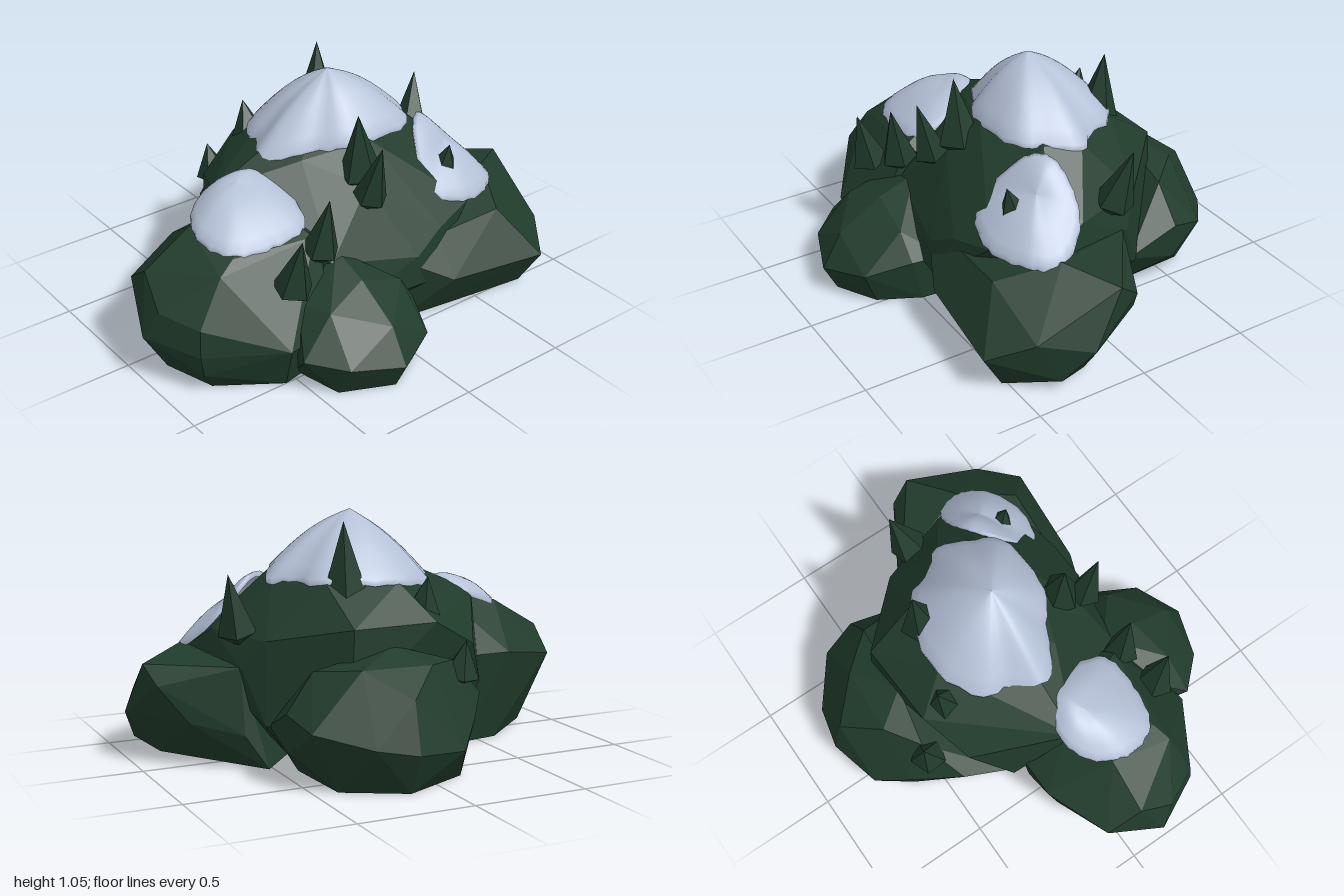
import * as THREE from 'three';
import { ConvexGeometry } from 'three/addons/geometries/ConvexGeometry.js';

const V = (p) => new THREE.Vector3(...p);

export function createModel() {
  const group = new THREE.Group();
  const forest = new THREE.MeshStandardMaterial({ color: 0x203b2b, flatShading: true });
  forest.name = 'forestGreen';
  const snowMat = new THREE.MeshStandardMaterial({ color: 0xb4c0d6, side: THREE.DoubleSide });
  snowMat.name = 'snow';

  const add = (name, geometry, material) => {
    const mesh = new THREE.Mesh(geometry, material);
    mesh.name = name;
    group.add(mesh);
    return mesh;
  };
  // Faceted boulder: hull around a few corner points
  const boulder = (name, points) => add(name, new ConvexGeometry(points.map(V)), forest);

  boulder('mainPeak', [
    [0.07, 0.92, -0.03], [-0.3, 0.71, -0.1], [-0.53, 0.66, -0.03], [-0.18, 0.75, 0.12],
    [0.1, 0.8, 0.22], [0.4, 0.79, 0.1], [0, 0.66, 0.33], [0.44, 0.77, -0.06],
    [0.3, 0.77, -0.3], [0, 0.77, -0.35], [0.28, 0.62, -0.52], [-0.1, 0.62, -0.5],
    [-0.32, 0.5, -0.42], [0.55, 0.55, -0.25], [0.3, 0.3, -0.53], [0.15, 0.34, 0.5],
    [-0.25, 0.42, 0.42], [-0.44, 0.3, -0.27], [0.56, 0.2, -0.27], [0.66, 0.56, 0.08],
    [0.72, 0.46, 0.25], [0.5, 0.46, 0.42], [0.3, 0.42, 0.47], [0.62, 0.42, -0.17],
    [0.2, 0.2, 0.51], [-0.25, 0.2, 0.47],
    [0.45, 0.06, -0.25], [-0.35, 0.1, -0.25], [0.2, 0.1, 0.4], [-0.2, 0.1, 0.4]]);
  boulder('leftHill', [
    [0.96, 0.43, 0.1], [1, 0.2, 0.24], [0.93, 0.06, 0.35], [0.93, 0.35, 0], [0.62, 0.43, -0.15],
    [0.62, 0.15, -0.19], [0.82, 0.2, -0.07], [0.78, 0.17, 0.62], [0.3, 0.2, 0.57],
    [0.62, 0.4, 0.48], [0.75, 0.48, 0.24], [0.3, 0.38, 0.46], [0.13, 0.3, 0.49],
    [0.1, 0.3, 0.2], [0.9, 0.25, 0.45], [0.75, 0, 0.52], [0.86, 0.02, 0.2],
    [0.3, 0, 0.45], [0.1, 0, 0.43], [0.52, 0, -0.2], [0.16, 0.1, 0.05]]);
  boulder('rightHill', [
    [-1, 0.22, 0.14], [-0.92, 0.46, 0.05], [-0.955, 0.35, 0.2], [-0.9, 0.35, -0.1],
    [-0.88, 0.2, 0.38], [-0.87, 0.32, 0.37], [-0.86, 0.1, 0.37], [-0.74, 0.5, 0.33],
    [-0.57, 0.2, 0.57], [-0.62, 0.4, -0.22], [-0.42, 0.4, -0.22], [-0.7, 0.59, 0.05],
    [-0.4, 0.66, 0.08], [-0.3, 0.54, 0.36], [-0.66, 0.54, 0.3], [-0.1, 0.4, 0.2],
    [-0.3, 0.2, 0.52], [-0.87, 0, 0.1], [-0.8, 0, 0.33], [-0.55, 0, 0.5],
    [-0.6, 0, -0.14], [-0.42, 0, -0.17], [-0.3, 0, 0.45], [-0.2, 0.12, 0.1]]);
  boulder('backHill', [
    [0.15, 0.17, -0.84], [0.32, 0.2, -0.8], [0.52, 0.25, -0.64], [0.56, 0.3, -0.48],
    [0.55, 0.14, -0.48], [0.54, 0.2, -0.25], [-0.08, 0.15, -0.78], [-0.2, 0.25, -0.65],
    [-0.33, 0.3, -0.46], [0.15, 0.38, -0.79], [0, 0.48, -0.65], [0.3, 0.48, -0.63],
    [0.1, 0.54, -0.5], [0.44, 0.46, -0.47], [-0.15, 0.47, -0.55], [-0.4, 0.2, -0.25],
    [0.15, 0, -0.76], [0.4, 0, -0.62], [-0.15, 0, -0.62], [0.42, 0, -0.27], [-0.32, 0, -0.27]]);
  boulder('frontHill', [
    [-0.2, 0.12, 0.84], [-0.42, 0.15, 0.76], [-0.55, 0.17, 0.62], [-0.5, 0.17, 0.45],
    [0, 0.15, 0.74], [0.08, 0.2, 0.55], [0.1, 0.2, 0.4], [-0.2, 0.27, 0.75],
    [-0.4, 0.33, 0.6], [-0.2, 0.39, 0.55], [0, 0.32, 0.56], [-0.2, 0.45, 0.38],
    [-0.45, 0.33, 0.45], [-0.2, 0, 0.78], [-0.42, 0, 0.68], [-0.02, 0, 0.68],
    [0.07, 0, 0.5], [0.08, 0, 0.4], [-0.47, 0, 0.45], [-0.2, 0.12, 0.28]]);

  // Smooth snow cap: rings shrink from a closed rim to the peak, with a skirt sunk into the rock
  const snowCap = (name, peak, rim, bulge) => {
    const N = 48, R = 9, top = V(peak);
    const curve = new THREE.CatmullRomCurve3(rim.map(V), true);
    const positions = [], index = [];
    for (let r = 0; r <= R; r++) {
      const t = Math.max(0, r - 1) / (R - 1);
      for (let i = 0; i < N; i++) {
        const p = curve.getPoint(i / N);
        const ragged = 1 + 0.015 * Math.sin(i * 2.4) * (1 - t);
        p.sub(top).multiplyScalar(ragged * (1 - t)).add(top);
        p.y += bulge * Math.sin(Math.PI * t) - (r === 0 ? 0.025 : 0);
        positions.push(p.x, p.y, p.z);
        if (r < R) {
          const a = r * N + i, b = r * N + (i + 1) % N;
          index.push(a, b, b + N, a, b + N, a + N);
        }
      }
    }
    const geo = new THREE.BufferGeometry();
    geo.setAttribute('position', new THREE.Float32BufferAttribute(positions, 3));
    geo.setIndex(index);
    geo.computeVertexNormals();
    add(name, geo, snowMat);
  };
  // Rims run counter-clockwise seen from above
  snowCap('mainSnowCap', [0.07, 1.05, -0.03], [
    [0.46, 0.78, -0.05], [0.38, 0.79, -0.15], [0.33, 0.79, -0.27], [0.15, 0.79, -0.35],
    [-0.04, 0.78, -0.35], [-0.2, 0.755, -0.25], [-0.22, 0.75, -0.15], [-0.33, 0.72, -0.03],
    [-0.22, 0.765, 0.07], [-0.1, 0.79, 0.13], [0, 0.81, 0.2], [0.15, 0.815, 0.22],
    [0.33, 0.81, 0.19], [0.4, 0.8, 0.08]], 0.033);
  snowCap('rightSnowCap', [-0.47, 0.72, 0.06], [
    [-0.28, 0.67, 0.08], [-0.33, 0.7, -0.02], [-0.5, 0.66, -0.08], [-0.64, 0.61, -0.02],
    [-0.71, 0.59, 0.12], [-0.66, 0.56, 0.28], [-0.48, 0.56, 0.33], [-0.3, 0.58, 0.3]], 0.025);
  snowCap('leftSnowCap', [0.53, 0.67, 0.22], [
    [0.75, 0.47, 0.25], [0.68, 0.57, 0.11], [0.57, 0.69, 0.08], [0.46, 0.78, 0.11],
    [0.38, 0.76, 0.18], [0.32, 0.55, 0.37], [0.5, 0.49, 0.43], [0.68, 0.48, 0.36]], 0.02);

  // Pine trees: five-sided spikes with a short tapered foot, from base to tip
  const trees = [
    [[0.02, 0.62, 0.27], [-0.01, 0.97, 0.28], 0.095],
    [[-0.03, 0.58, 0.37], [-0.02, 0.89, 0.45], 0.075],
    [[-0.48, 0.35, 0.44], [-0.47, 0.65, 0.51], 0.085],
    [[-0.3, 0.43, 0.39], [-0.28, 0.74, 0.44], 0.08],
    [[0.47, 0.55, 0.28], [0.47, 0.7, 0.32], 0.062],
    [[0.6, 0.51, -0.09], [0.67, 0.82, -0.15], 0.085],
    [[0.21, 0.66, -0.28], [0.23, 1.03, -0.31], 0.095],
    [[-0.09, 0.55, -0.36], [-0.1, 0.8, -0.42], 0.1],
    [[-0.18, 0.36, -0.54], [-0.2, 0.55, -0.57], 0.08]];
  trees.forEach(([from, to, radius], i) => {
    const base = V(from), axis = V(to).sub(base), h = axis.length();
    const profile = [[0, 0], [radius, h * 0.2], [0, h]].map(([x, y]) => new THREE.Vector2(x, y));
    const tree = add('pineTree' + (i + 1), new THREE.LatheGeometry(profile, 5, i * 1.3), forest);
    tree.position.copy(base);
    tree.quaternion.setFromUnitVectors(new THREE.Vector3(0, 1, 0), axis.normalize());
  });

  return group;
}
